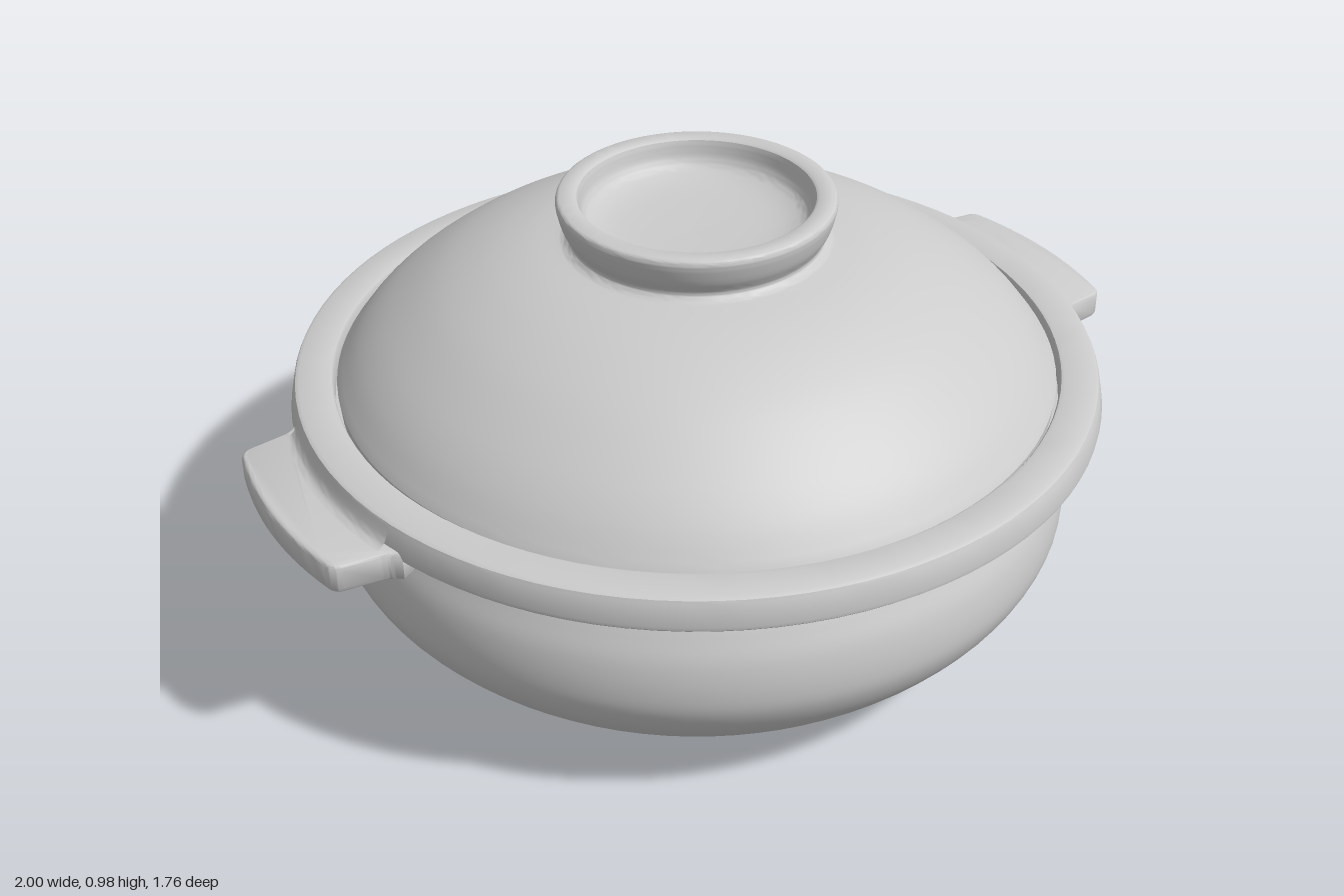
import * as THREE from 'three';
import { toCreasedNormals } from 'three/addons/utils/BufferGeometryUtils.js';

const SEGMENTS = 96;

// Smooth run of profile points through a few [radius, height] controls
function curve(controls, divisions) {
  return new THREE.SplineCurve(controls.map(([r, y]) => new THREE.Vector2(r, y))).getPoints(divisions);
}

function line(controls) {
  return controls.map(([r, y]) => new THREE.Vector2(r, y));
}

export function createModel() {
  const model = new THREE.Group();
  model.name = 'casserolePot';
  const material = new THREE.MeshStandardMaterial({ color: 0xcccccc });

  function add(name, geometry, parent = model) {
    const mesh = new THREE.Mesh(toCreasedNormals(geometry, 0.6), material);
    mesh.name = name;
    parent.add(mesh);
    return mesh;
  }

  // Pot: foot ring, round belly, pinched neck, flared rim, lid ledge, hollow inside
  add('potBody', new THREE.LatheGeometry([
    ...line([[0, 0.02], [0.36, 0.02], [0.365, 0.003], [0.37, 0], [0.415, 0], [0.42, 0.003], [0.43, 0.02]]),
    ...curve([[0.445, 0.022], [0.52, 0.03], [0.61, 0.058], [0.7, 0.11], [0.775, 0.19], [0.812, 0.26],
      [0.818, 0.32], [0.807, 0.385], [0.785, 0.435], [0.775, 0.455]], 36),
    ...line([[0.776, 0.461], [0.782, 0.468], [0.862, 0.526], [0.872, 0.531], [0.878, 0.537], [0.879, 0.545],
      [0.869, 0.592], [0.866, 0.598], [0.858, 0.602], [0.795, 0.602], [0.788, 0.6], [0.785, 0.595],
      [0.785, 0.55], [0.72, 0.55], [0.72, 0.46]]),
    ...curve([[0.725, 0.44], [0.755, 0.33], [0.72, 0.22], [0.6, 0.11], [0.42, 0.07], [0, 0.065]], 24),
  ], SEGMENTS));

  // Lid: hollow dome with a flared, dished knob
  add('lid', new THREE.LatheGeometry([
    ...curve([[0, 0.84], [0.28, 0.825], [0.47, 0.76], [0.62, 0.66], [0.7, 0.555]], 20),
    ...line([[0.775, 0.555], [0.778, 0.59]]),
    ...curve([[0.772, 0.6], [0.725, 0.66], [0.66, 0.72], [0.56, 0.79], [0.46, 0.838], [0.37, 0.866], [0.29, 0.88]], 30),
    ...curve([[0.285, 0.881], [0.273, 0.889], [0.272, 0.9], [0.284, 0.922], [0.292, 0.95], [0.295, 0.968], [0.292, 0.978],
      [0.283, 0.982]], 20),
    ...line([[0.256, 0.982], [0.25, 0.978]]),
    ...curve([[0.247, 0.97], [0.238, 0.938], [0.215, 0.918], [0.15, 0.905], [0, 0.9]], 20),
  ], SEGMENTS));

  // Handle outline seen from above: curved outer edge, tapered sides, widened root
  const bevel = 0.012;
  const outline = new THREE.Shape();
  outline.moveTo(0.79, -0.225);
  outline.lineTo(0.835, -0.25);
  outline.quadraticCurveTo(0.85, -0.236, 0.87, -0.232);
  outline.lineTo(0.948, -0.222);
  outline.quadraticCurveTo(0.96, -0.219, 0.963, -0.205);
  outline.quadraticCurveTo(1.013, 0, 0.963, 0.205);
  outline.quadraticCurveTo(0.96, 0.219, 0.948, 0.222);
  outline.lineTo(0.87, 0.232);
  outline.quadraticCurveTo(0.85, 0.236, 0.835, 0.25);
  outline.lineTo(0.79, 0.225);
  outline.closePath();

  for (const [name, turn] of [['leftHandle', 0], ['rightHandle', Math.PI]]) {
    const handle = new THREE.Group();
    handle.name = name;
    handle.rotation.y = turn;
    model.add(handle);

    const grip = new THREE.ExtrudeGeometry(outline, {
      depth: 0.066 - 2 * bevel, bevelEnabled: true, bevelThickness: bevel, bevelSize: bevel,
      bevelSegments: 4, curveSegments: 14,
    });
    grip.rotateX(Math.PI / 2);
    grip.translate(0, 0.553 - bevel, 0);
    add(name + 'Grip', grip, handle);

    // Soft fillet joining the handle top to the rim
    const arc = 0.255;
    add(name + 'Fillet', new THREE.LatheGeometry(
      curve([[0.906, 0.552], [0.89, 0.556], [0.879, 0.567], [0.868, 0.594]], 8),
      16, Math.PI / 2 - arc, 2 * arc), handle);
  }

  return model;
}
